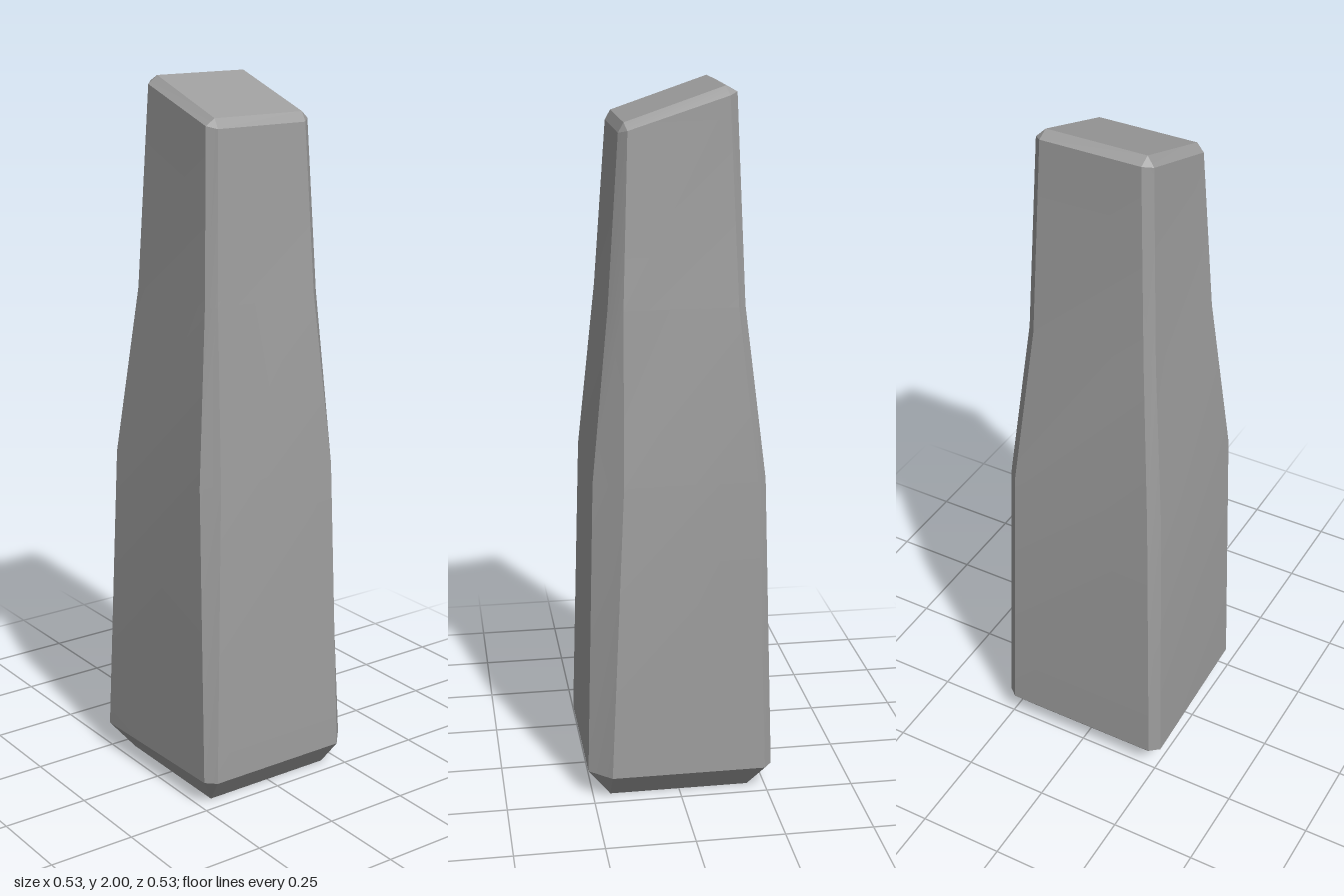
import * as THREE from 'three';
import { toCreasedNormals } from 'three/addons/utils/BufferGeometryUtils.js';

// Cross-section from four corners; each corner is [side x, side z, end x, end z].
function section(y, fr, br, bl, fl) {
  const at = (x, z) => new THREE.Vector3(x, typeof y === 'function' ? y(z) : y, z);
  return [
    at(fr[0], fr[1]), at(br[0], br[1]), at(br[2], br[3]), at(bl[2], bl[3]),
    at(bl[0], bl[1]), at(fl[0], fl[1]), at(fl[2], fl[3]), at(fr[2], fr[3]),
  ];
}

// Sharp corners: both ends of each chamfer meet in one point.
function rectangle(y, x0, x1, z0, z1) {
  const c = (x, z) => [x, z, x, z];
  return section(y, c(x1, z1), c(x1, z0), c(x0, z0), c(x0, z1));
}

// Skin the sections from bottom to top and close both ends.
function loft(sections) {
  const points = [];
  const tri = (a, b, c) => {
    if (new THREE.Triangle(a, b, c).getArea() > 1e-7) points.push(a, b, c);
  };
  for (let s = 0; s < sections.length - 1; s++) {
    const low = sections[s], high = sections[s + 1];
    for (let i = 0; i < 8; i++) {
      const j = (i + 1) % 8;
      tri(low[i], low[j], high[j]);
      tri(low[i], high[j], high[i]);
    }
  }
  const bottom = sections[0], top = sections[sections.length - 1];
  for (let i = 1; i < 7; i++) {
    tri(top[0], top[i], top[i + 1]);
    tri(bottom[0], bottom[i + 1], bottom[i]);
  }
  return toCreasedNormals(new THREE.BufferGeometry().setFromPoints(points), 0.3);
}

export function createModel() {
  const group = new THREE.Group();
  group.name = 'standingStone';
  const stone = new THREE.MeshStandardMaterial({ color: 0x9c9c9c });
  stone.name = 'stone grey';

  // The top slopes down toward the front.
  const rim = (z) => 1.933 - 0.32 * z;
  const cap = (z) => 1.957 - 0.336 * z;

  const pillar = new THREE.Mesh(loft([
    // foot and its bevel
    rectangle(0, -0.2, 0.2, -0.2, 0.2),
    section(0.08, [0.263, 0.2, 0.207, 0.263], [0.263, -0.24, 0.235, -0.263],
      [-0.263, -0.24, -0.235, -0.263], [-0.248, 0.237, -0.22, 0.263]),
    // waist
    section(0.94, [0.24, 0.158, 0.187, 0.238], [0.24, -0.213, 0.213, -0.238],
      [-0.237, -0.212, -0.208, -0.238], [-0.237, 0.205, -0.19, 0.238]),
    section(1.42, [0.193, 0.15, 0.156, 0.188], [0.193, -0.162, 0.168, -0.184],
      [-0.188, -0.162, -0.164, -0.184], [-0.188, 0.162, -0.164, 0.188]),
    // rim and sloping cap
    section(rim, [0.169, 0.133, 0.145, 0.155], [0.169, -0.137, 0.145, -0.16],
      [-0.163, -0.137, -0.14, -0.16], [-0.163, 0.133, -0.14, 0.155]),
    rectangle(cap, -0.14, 0.145, -0.128, 0.14),
  ]), stone);
  pillar.name = 'pillar';
  group.add(pillar);
  return group;
}
